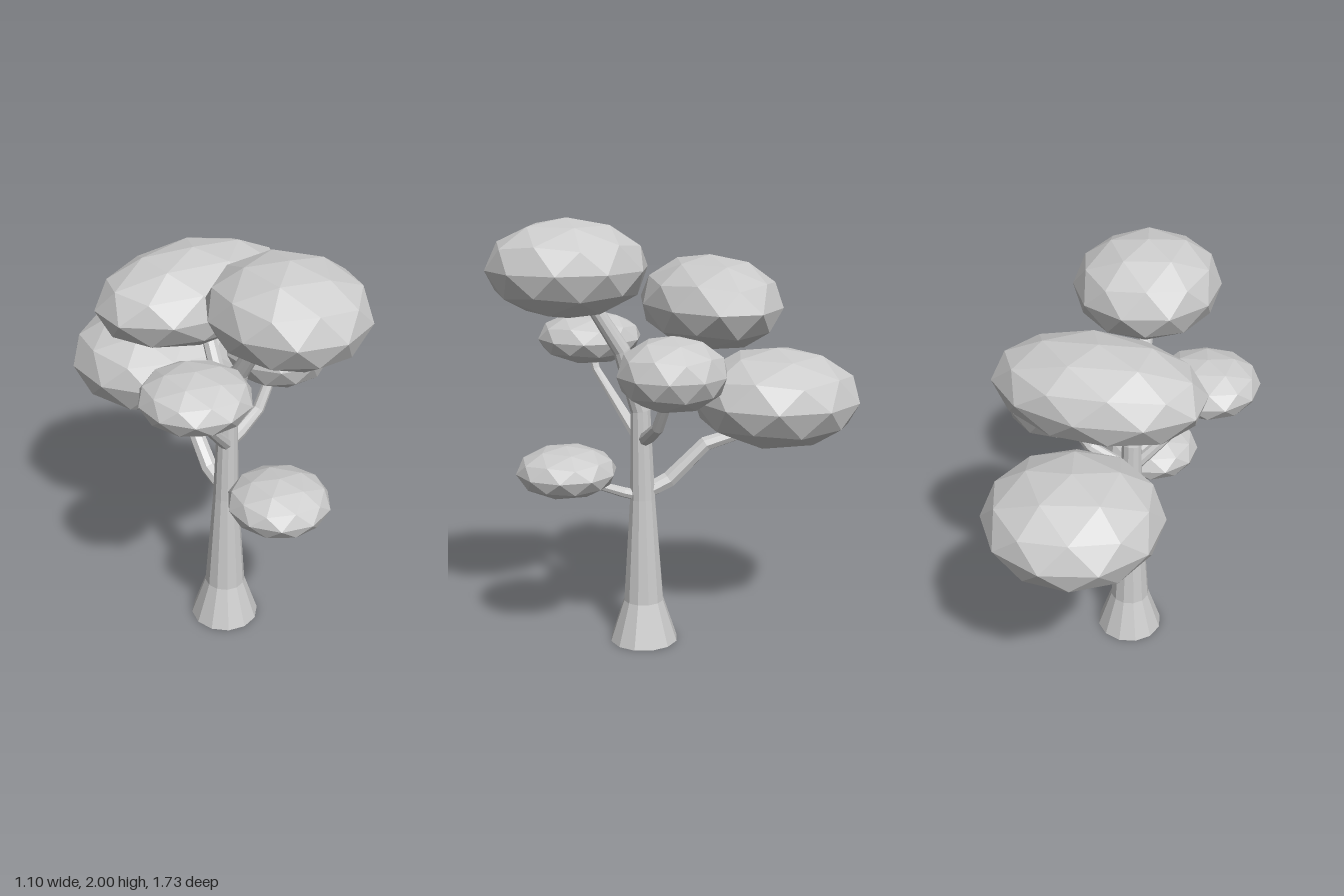
import * as THREE from 'three';

const material = new THREE.MeshStandardMaterial({ color: 0xcccccc, flatShading: true });

// Tapered limb through stations [x, y, z, radius], with closed ends
function limbGeometry(stations, sides) {
  const pts = stations.map(([x, y, z]) => new THREE.Vector3(x, y, z));
  const last = pts.length - 1;
  const span = pts[last].clone().sub(pts[0]);
  const ref = Math.abs(span.x) > Math.abs(span.z) ? new THREE.Vector3(0, 0, 1) : new THREE.Vector3(1, 0, 0);
  const positions = [];
  const index = [];

  pts.forEach((p, i) => {
    const t = new THREE.Vector3();
    if (i > 0) t.add(p.clone().sub(pts[i - 1]).normalize());
    if (i < last) t.add(pts[i + 1].clone().sub(p).normalize());
    t.normalize();
    const u = new THREE.Vector3().crossVectors(ref, t).normalize();
    const v = new THREE.Vector3().crossVectors(t, u);
    for (let k = 0; k < sides; k++) {
      const a = (k / sides) * Math.PI * 2;
      const q = p.clone()
        .addScaledVector(u, Math.cos(a) * stations[i][3])
        .addScaledVector(v, Math.sin(a) * stations[i][3]);
      positions.push(q.x, q.y, q.z);
    }
  });
  positions.push(...pts[0].toArray(), ...pts[last].toArray());

  const startCentre = pts.length * sides;
  for (let k = 0; k < sides; k++) {
    const n = (k + 1) % sides;
    for (let i = 0; i < last; i++) {
      const a = i * sides + k, b = i * sides + n;
      index.push(a, b, b + sides, a, b + sides, a + sides);
    }
    index.push(startCentre, n, k);
    index.push(startCentre + 1, last * sides + k, last * sides + n);
  }

  const indexed = new THREE.BufferGeometry();
  indexed.setAttribute('position', new THREE.Float32BufferAttribute(positions, 3));
  indexed.setIndex(index);
  const geometry = indexed.toNonIndexed();
  geometry.computeVertexNormals();
  return geometry;
}

// Faceted ball with a corner at the very top, squashed to the given radii
function foliageGeometry(radii) {
  const geometry = new THREE.IcosahedronGeometry(1, 1);
  geometry.rotateZ(-Math.atan(2 / (1 + Math.sqrt(5))));
  geometry.scale(...radii);
  geometry.computeVertexNormals();
  return geometry;
}

export function createModel() {
  const tree = new THREE.Group();
  tree.name = 'tree';
  const add = (name, geometry, position = [0, 0, 0]) => {
    const mesh = new THREE.Mesh(geometry, material);
    mesh.name = name;
    mesh.position.set(...position);
    tree.add(mesh);
  };

  // Trunk: flared foot, straight taper, then leaning forward into the crown
  add('trunk', limbGeometry([
    [-0.02, 0, 0.166, 0.161],
    [-0.02, 0.2, 0.166, 0.095],
    [-0.02, 0.7, 0.168, 0.06],
    [-0.02, 1.12, 0.175, 0.047],
    [-0.02, 1.4, 0.26, 0.04],
    [-0.015, 1.6, 0.385, 0.033],
    [0, 1.75, 0.46, 0.03],
  ], 12));

  // Branches
  const branches = {
    lowerBackBranch: [[-0.02, 0.73, 0.15, 0.036], [-0.02, 0.78, 0.04, 0.04], [0, 0.945, -0.13, 0.036], [0.02, 1.0, -0.32, 0.03]],
    upperBackBranch: [[-0.02, 1.15, 0.17, 0.036], [-0.01, 1.3, 0.09, 0.036], [0.01, 1.52, -0.04, 0.03]],
    lowerFrontBranch: [[-0.02, 0.71, 0.17, 0.027], [-0.02, 0.735, 0.26, 0.024], [-0.01, 0.8, 0.43, 0.018], [0, 0.84, 0.5, 0.015]],
    leftBranch: [[-0.01, 0.98, 0.165, 0.032], [0.06, 1.01, 0.16, 0.032], [0.18, 1.08, 0.145, 0.028], [0.29, 1.25, 0.12, 0.024]],
    rightBranch: [[-0.03, 0.99, 0.185, 0.03], [-0.13, 1.1, 0.24, 0.026], [-0.28, 1.27, 0.325, 0.02], [-0.31, 1.36, 0.34, 0.018]],
  };
  for (const [name, stations] of Object.entries(branches)) add(name, limbGeometry(stations, 8));

  // Foliage: [centre, radii]
  const foliage = {
    topFoliage: [[0.025, 1.782, 0.508], [0.336, 0.218, 0.36]],
    upperBackFoliage: [[0.023, 1.613, -0.14], [0.481, 0.212, 0.31]],
    lowerBackFoliage: [[0.025, 1.153, -0.466], [0.4, 0.233, 0.397]],
    rightFoliage: [[-0.319, 1.418, 0.345], [0.245, 0.122, 0.245]],
    leftFoliage: [[0.314, 1.347, 0.114], [0.247, 0.167, 0.246]],
    lowerFrontFoliage: [[-0.002, 0.862, 0.526], [0.233, 0.117, 0.231]],
  };
  for (const [name, [centre, radii]] of Object.entries(foliage)) add(name, foliageGeometry(radii), centre);

  return tree;
}
